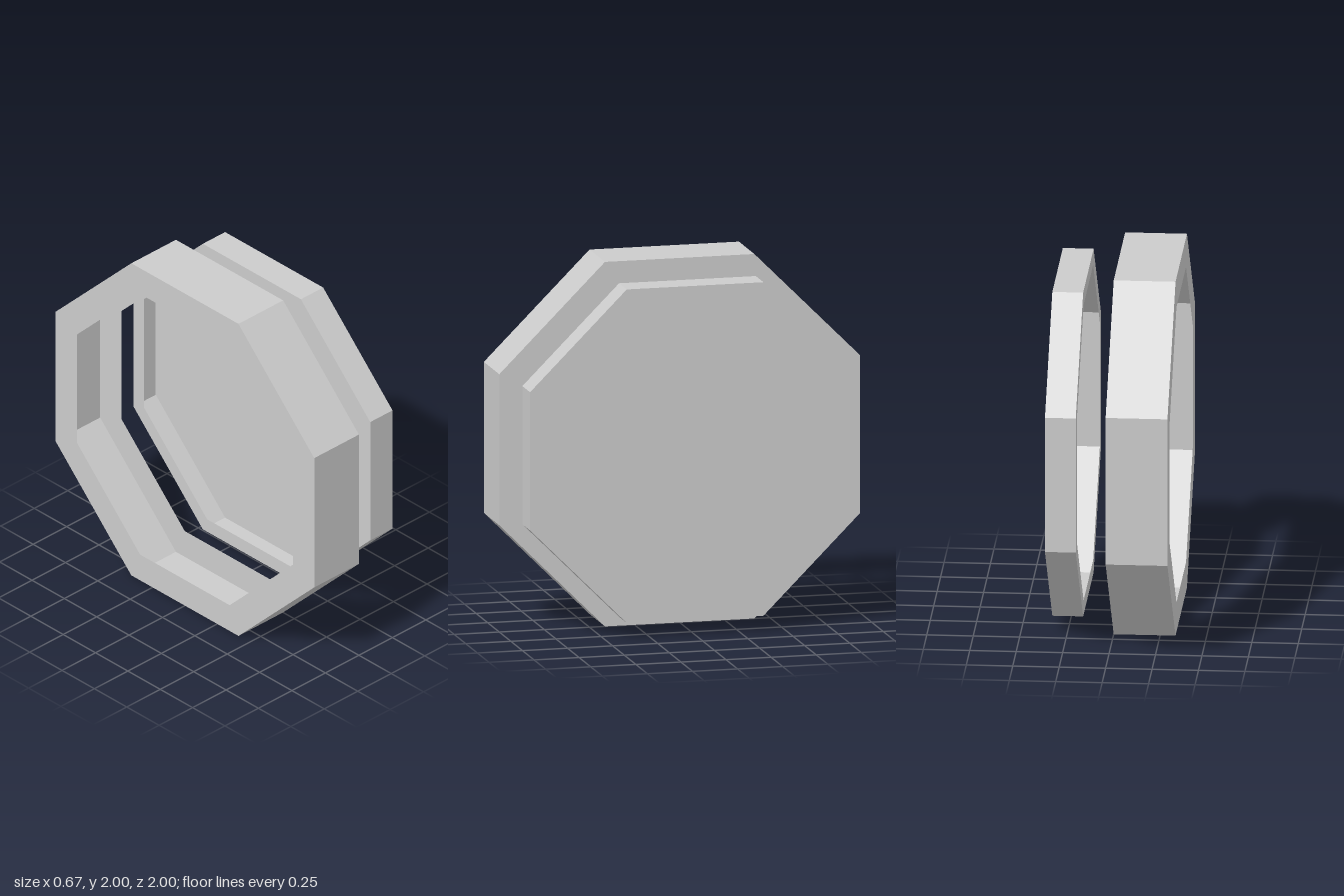
import * as THREE from 'three';

const SIDES = 8;
const material = new THREE.MeshStandardMaterial({
  color: 0xcccccc, flatShading: true, side: THREE.DoubleSide,
});

// Thin octagonal shell around the x axis; profile is [apothem, x] pairs
function octagonShell(name, profile) {
  const toCorner = 1 / Math.cos(Math.PI / SIDES);
  const points = profile.map(([r, x]) => new THREE.Vector2(r * toCorner, x));
  const geometry = new THREE.LatheGeometry(points, SIDES, Math.PI / SIDES);
  geometry.rotateZ(-Math.PI / 2);
  const mesh = new THREE.Mesh(geometry, material);
  mesh.name = name;
  mesh.position.y = 1;
  return mesh;
}

export function createModel() {
  const model = new THREE.Group();
  model.name = 'octagonalCase';

  const opening = 0.835;

  // Body: outer wall with a flat rim at each end, open through the middle
  model.add(octagonShell('bodyRing', [
    [opening, -0.333], [1, -0.333], [1, 0], [opening, 0],
  ]));

  // Lid: hollow cap, closed on the outside with a narrow rim facing the body
  model.add(octagonShell('lid', [
    [opening, 0.167], [0.915, 0.167], [0.915, 0.333], [0, 0.333],
  ]));

  return model;
}
